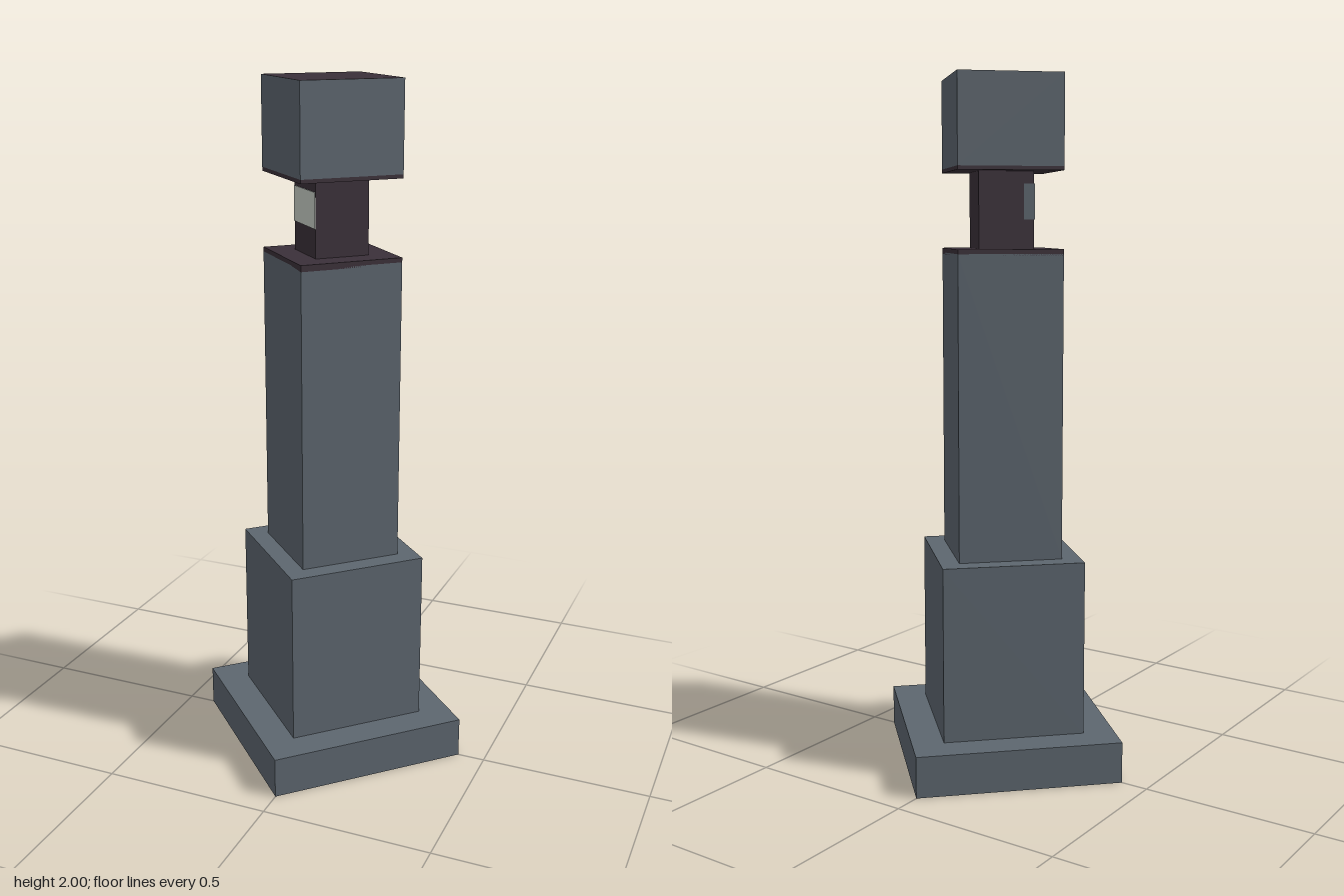
import * as THREE from 'three';

const slate = new THREE.MeshStandardMaterial({ name: 'slate grey', color: 0x5d666f, side: THREE.DoubleSide });
const plum = new THREE.MeshStandardMaterial({ name: 'dark plum', color: 0x3b3039 });
const pale = new THREE.MeshStandardMaterial({ name: 'pale lamp', color: 0xc8cfc6 });

// Split the faces so every side is flat
function faceted(geometry) {
  const g = geometry.toNonIndexed();
  g.computeVertexNormals();
  return g;
}

export function createModel() {
  const model = new THREE.Group();
  model.name = 'lampPillar';

  function add(name, geometry, material) {
    const mesh = new THREE.Mesh(geometry, material);
    mesh.name = name;
    model.add(mesh);
    return mesh;
  }

  // Square prism with its corners on the x and z axes
  function prism(name, radius, y0, y1, material) {
    const g = faceted(new THREE.CylinderGeometry(radius, radius, y1 - y0, 4));
    add(name, g, material).position.y = (y0 + y1) / 2;
  }

  // Hollow stepped base and shaft, open underneath
  const profile = [
    [0.212, 0], [0.42, 0], [0.42, 0.12], [0.29, 0.12],
    [0.29, 0.63], [0.212, 0.63], [0.212, 1.505],
  ].map(([r, y]) => new THREE.Vector2(r, y));
  add('steppedShaft', faceted(new THREE.LatheGeometry(profile, 4)), slate);

  // Dark collar, neck and the head with its dark top and underside
  prism('collar', 0.212, 1.5, 1.518, plum);
  prism('neck', 0.112, 1.518, 1.737, plum);
  prism('headUnderside', 0.212, 1.735, 1.746, plum);
  prism('head', 0.212, 1.746, 2, [slate, plum, plum]);

  // Lamp let into one side of the neck
  const lamp = new THREE.Group();
  lamp.name = 'lamp';
  lamp.rotation.y = -Math.PI / 4;
  lamp.position.y = 1.65;
  model.add(lamp);
  const housing = new THREE.Mesh(new THREE.BoxGeometry(0.157, 0.1, 0.03), slate);
  housing.name = 'lampHousing';
  housing.position.set(-0.002, 0, 0.065);
  const pane = new THREE.Mesh(new THREE.BoxGeometry(0.157, 0.1, 0.003), pale);
  pane.name = 'lampPane';
  pane.position.set(-0.001, 0, 0.08);
  lamp.add(housing, pane);

  return model;
}
